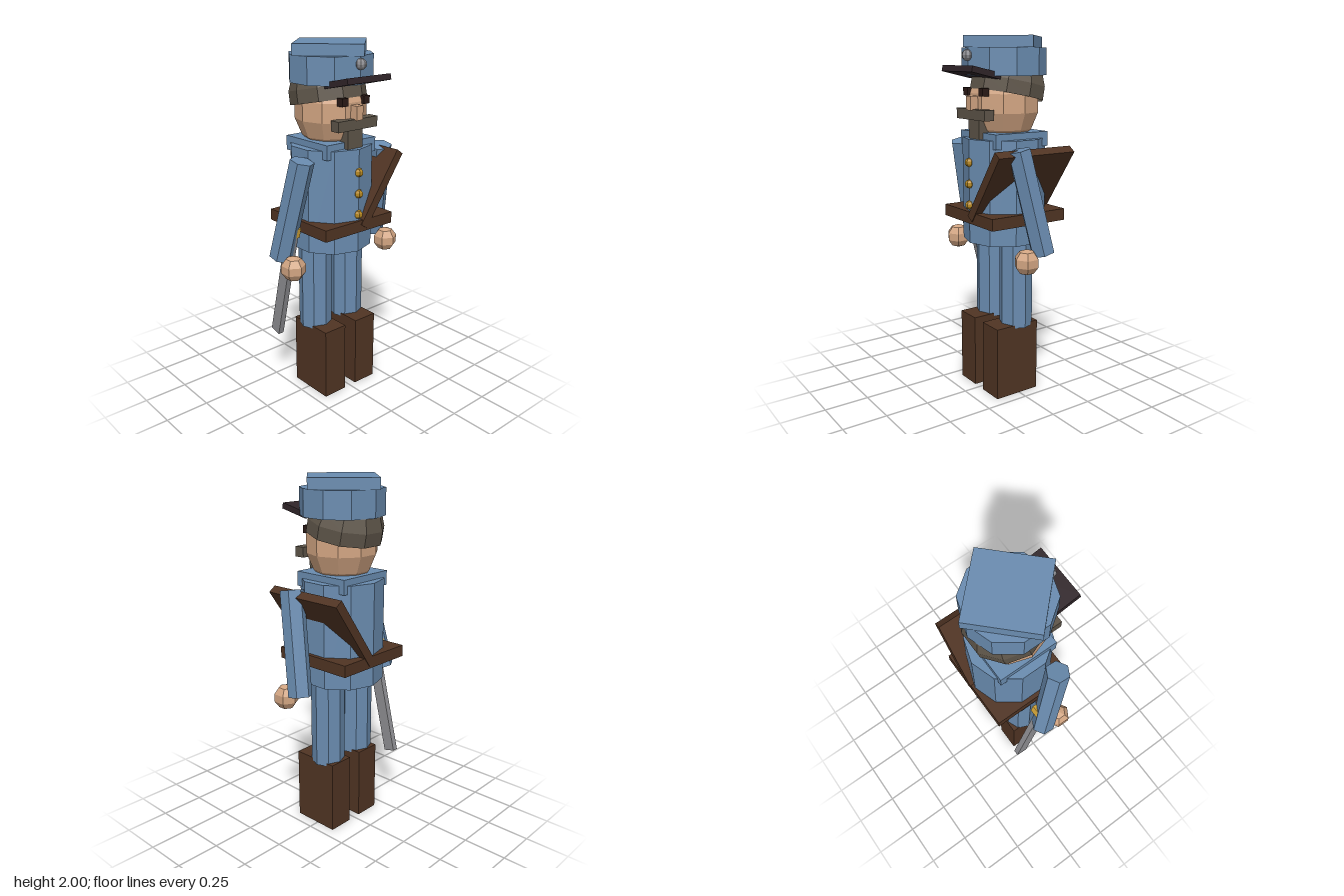
import * as THREE from 'three';

const mat = (name, color) => {
  const m = new THREE.MeshStandardMaterial({ color, flatShading: true });
  m.name = name;
  return m;
};

export function createModel() {
  const model = new THREE.Group();
  model.name = 'soldier';

  const blue = mat('uniformBlue', 0x6a8cb0);
  const brown = mat('leatherBrown', 0x503423);
  const skin = mat('skin', 0xd2a582);
  const hairGrey = mat('hairGrey', 0x5e5549);
  hairGrey.side = THREE.DoubleSide;
  const black = mat('visorBlack', 0x2f2428);
  const eyeDark = mat('eyeDark', 0x2a1a16);
  const brass = mat('brass', 0xb88a22);
  const gold = mat('hiltGold', 0xd9a93a);
  const steel = mat('steel', 0x8e8e92);

  const Z = -0.022; // body axis

  const add = (name, geometry, material, x, y, z) => {
    const mesh = new THREE.Mesh(geometry, material);
    mesh.name = name;
    mesh.position.set(x, y, z);
    model.add(mesh);
    return mesh;
  };
  const box = (name, material, w, h, d, x, y, z) =>
    add(name, new THREE.BoxGeometry(w, h, d), material, x, y, z);
  const prism = (name, material, r, y0, y1, sides, x = 0, z = Z) =>
    add(name, new THREE.CylinderGeometry(r, r, y1 - y0, sides), material, x, (y0 + y1) / 2, z);
  const ball = (name, material, r, ws, hs, x, y, z) =>
    add(name, new THREE.SphereGeometry(r, ws, hs), material, x, y, z);

  // Tunic and collar
  prism('tunic', blue, 0.23, 0.885, 1.46, 10);
  box('collar', blue, 0.344, 0.08, 0.344, 0, 1.455, Z);
  for (const y of [1.335, 1.217, 1.1]) ball('button', brass, 0.025, 6, 5, 0, y, 0.207);

  // Belt and shoulder strap
  box('belt', brown, 0.485, 0.065, 0.485, 0, 1.033, Z);
  box('strap', brown, 0.05, 0.46, 0.494, 0.16, 1.217, Z).rotation.z = -0.61;

  // Limbs, mirrored left and right
  for (const s of [1, -1]) {
    prism('leg', blue, 0.094, 0.4, 0.9, 8, s * 0.118);
    box('boot', brown, 0.148, 0.417, 0.275, s * 0.115, 0.2085, 0.015);

    const top = new THREE.Vector3(s * 0.281, 1.42, 0.08);
    const end = new THREE.Vector3(s * 0.346, 0.865, -0.036);
    const dir = top.clone().sub(end);
    const mid = top.clone().add(end).multiplyScalar(0.5);
    add('arm', new THREE.CylinderGeometry(0.066, 0.066, dir.length(), 6), blue, mid.x, mid.y, mid.z)
      .quaternion.setFromUnitVectors(new THREE.Vector3(0, 1, 0), dir.normalize());
    ball('hand', skin, 0.071, 6, 5, s * 0.346, 0.835, 0.073).rotation.y = Math.PI / 2;

    box('eye', eyeDark, 0.042, 0.042, 0.04, s * 0.075, 1.71, 0.16);
  }

  // Head and face
  ball('head', skin, 0.2, 10, 7, 0, 1.65, Z).scale.y = 1.15;
  add('hair', new THREE.SphereGeometry(0.212, 10, 5, 0, Math.PI * 2, 0, Math.PI * 0.55), hairGrey, 0, 1.72, -0.045)
    .rotation.x = -0.2;
  box('nose', skin, 0.045, 0.075, 0.08, 0, 1.652, 0.17);
  box('moustache', hairGrey, 0.274, 0.056, 0.06, 0, 1.592, 0.168);
  box('beard', hairGrey, 0.104, 0.11, 0.07, 0, 1.511, 0.14);

  // Cap
  prism('capBand', blue, 0.23, 1.795, 1.94, 10);
  prism('capTop', blue, 0.26, 1.94, 2, 4);
  box('visor', black, 0.3, 0.032, 0.18, 0, 1.813, 0.19).rotation.x = -0.22;
  ball('badge', steel, 0.03, 8, 6, 0, 1.9, 0.213);

  // Sword hanging at the right hip
  box('blade', steel, 0.034, 0.66, 0.07, -0.3, 0.675, -0.076).rotation.x = 0.24;
  box('hilt', gold, 0.055, 0.055, 0.11, -0.3, 1.025, -0.01).rotation.x = 0.24;

  return model;
}
